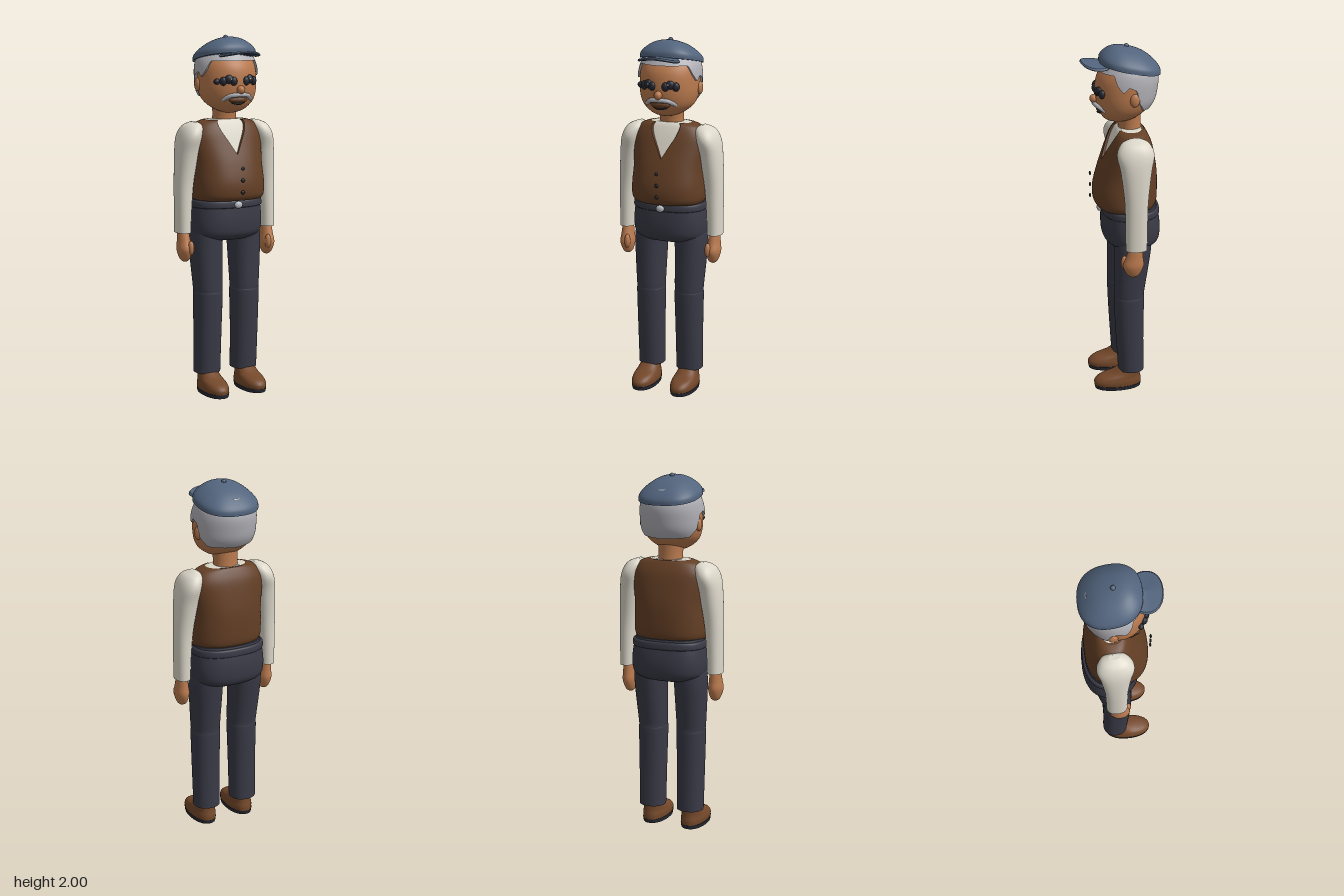
import * as THREE from 'three';

const mat = (name, color, side = THREE.FrontSide) => {
  const m = new THREE.MeshStandardMaterial({ color, side });
  m.name = name;
  return m;
};

// Smooth reading of a list of cross-sections [y, cx, cz, rx, rz] at position t
function sample(secs, t) {
  const n = secs.length - 1;
  const i = Math.min(Math.max(Math.floor(t), 0), n - 1), f = t - i;
  const at = k => secs[Math.min(Math.max(k, 0), n)];
  const [a, b, c, d] = [at(i - 1), at(i), at(i + 1), at(i + 2)];
  return b.map((v, k) => v + 0.5 * f * (c[k] - a[k] + f * (2 * a[k] - 5 * v + 4 * c[k] - d[k] + f * (3 * (v - c[k]) + d[k] - a[k]))));
}

// Surface through superellipse rings. lo/hi give the end positions per angle;
// ends close to the middle, or turn inward as a thin rim when off > 0.
function loft(secs, { power = 2, tilt = 0, off = 0, lo = () => 0, hi = () => secs.length - 1, segs = 64, steps = 5 } = {}) {
  const rows = (secs.length - 1) * steps, pos = [], index = [];
  const ring = (f, end) => {
    for (let j = 0; j < segs; j++) {
      const a = (j / segs) * Math.PI * 2, s = Math.sin(a), c = Math.cos(a);
      const w = Math.abs(Math.atan2(s, c));
      const [y, cx, cz, rx, rz] = sample(secs, lo(w) + (hi(w) - lo(w)) * f);
      const grow = r => (end ? (off ? r - 0.01 : 0) : Math.max(r, 0) + off);
      const x = grow(rx) * Math.sign(s) * Math.abs(s) ** (2 / power);
      const z = grow(rz) * Math.sign(c) * Math.abs(c) ** (2 / power);
      pos.push(cx + x, y + tilt * z, cz + z);
    }
  };
  ring(0, true);
  ring(0);
  for (let i = 0; i <= rows; i++) ring(i / rows);
  ring(1);
  ring(1, true);
  for (let i = 0; i < rows + 4; i++) {
    for (let j = 0; j < segs; j++) {
      const k = (j + 1) % segs, a = i * segs + j, b = i * segs + k;
      index.push(a, b, b + segs, a, b + segs, a + segs);
    }
  }
  const g = new THREE.BufferGeometry();
  g.setAttribute('position', new THREE.Float32BufferAttribute(pos, 3));
  g.setIndex(index);
  g.computeVertexNormals();
  return g;
}

// Piecewise linear lookup
const ramp = pts => v => {
  for (let i = 1; i < pts.length; i++) {
    const [x0, y0] = pts[i - 1], [x1, y1] = pts[i];
    if (v <= x1) return y0 + (y1 - y0) * (v - x0) / (x1 - x0);
  }
  return pts[pts.length - 1][1];
};

export function createModel() {
  const model = new THREE.Group();
  const cap = mat('cap blue', 0x52647d), skin = mat('skin', 0xba7a4e);
  const grey = mat('grey hair', 0xb0b0b6, THREE.DoubleSide), brown = mat('vest brown', 0x643f25, THREE.DoubleSide);
  const cream = mat('shirt cream', 0xdcd7ca), slate = mat('trouser slate', 0x393a46);
  const leather = mat('shoe leather', 0x74482a), dark = mat('dark', 0x262932);
  const metal = mat('buckle metal', 0xb8bbc2);

  const add = (name, geo, material) => {
    const m = new THREE.Mesh(geo, material);
    m.name = name;
    model.add(m);
    return m;
  };
  const ball = (name, material, x, y, z, rx, ry = rx, rz = rx) => {
    const m = add(name, new THREE.SphereGeometry(1, 24, 16), material);
    m.position.set(x, y, z);
    m.scale.set(rx, ry, rz);
    return m;
  };

  // Head, hair and neck
  const head = [
    [1.575, 0, 0.01, 0.02, 0.02], [1.59, 0, 0.01, 0.07, 0.07], [1.615, 0, 0, 0.112, 0.105],
    [1.65, 0, -0.01, 0.145, 0.133], [1.7, 0, -0.02, 0.162, 0.155], [1.76, 0, -0.026, 0.166, 0.163],
    [1.82, 0, -0.033, 0.163, 0.161], [1.87, 0, -0.04, 0.15, 0.141], [1.92, 0, -0.045, 0.115, 0.11],
    [1.95, 0, -0.045, 0.06, 0.06],
  ];
  add('head', loft(head, { segs: 96 }), skin);
  const hairline = ramp([[0, 6.8], [0.95, 6.8], [1.15, 5.8], [1.35, 5.2], [1.5, 5.7], [1.75, 5.4], [1.9, 4.2], [2.2, 3.3], [3.2, 3.1]]);
  add('hair', loft(head, { off: 0.012, lo: hairline, hi: () => 8, segs: 128 }), grey);
  add('neck', loft([[1.48, 0, -0.055, 0.072, 0.066], [1.56, 0, -0.05, 0.067, 0.062], [1.66, 0, -0.04, 0.075, 0.07]]), skin);

  // Flat cap with peak and top button
  add('cap', loft([
    [1.872, 0, -0.05, 0.168, 0.163], [1.9, 0, -0.05, 0.164, 0.16], [1.93, 0, -0.047, 0.138, 0.137],
    [1.96, 0, -0.042, 0.095, 0.098], [1.977, 0, -0.036, 0.05, 0.055], [1.984, 0, -0.033, 0.01, 0.01],
  ], { power: 2.4, tilt: 0.2 }), cap);
  const peak = loft([[1.895, 0, 0.13, 0.108, 0.08], [1.902, 0, 0.13, 0.116, 0.085], [1.909, 0, 0.13, 0.108, 0.08]], { power: 2.2, tilt: 0.07 });
  const p = peak.attributes.position;
  for (let i = 0; i < p.count; i++) p.setY(i, p.getY(i) - p.getX(i) ** 2 * 1.2);
  peak.computeVertexNormals();
  add('capPeak', peak, cap);
  ball('capButton', cap, 0, 1.985, -0.033, 0.013);

  // Face
  ball('nose', skin, 0, 1.705, 0.143, 0.022, 0.024, 0.023);
  for (const s of [-1, 1]) {
    ball('ear', skin, s * 0.165, 1.73, -0.05, 0.016, 0.036, 0.026);
    for (const [x, y, rx] of [[0.038, 1.752, 0.02], [0.064, 1.762, 0.024], [0.092, 1.752, 0.02]]) {
      ball('eye', dark, s * x, y, 0.136 - 2.6 * x * x, rx, 0.024, 0.016).rotation.y = s * x * 5;
    }
    ball('eyeGlint', metal, s * 0.058, 1.764, 0.143, 0.006, 0.004, 0.002);
  }
  ball('eyeCorner', dark, -0.121, 1.75, 0.094, 0.018, 0.016, 0.014);
  const arc = pts => new THREE.CatmullRomCurve3(pts.map(q => new THREE.Vector3(...q)));
  const moustache = arc([[-0.085, 1.652, 0.09], [-0.05, 1.674, 0.128], [0, 1.678, 0.142], [0.05, 1.674, 0.128], [0.085, 1.652, 0.09]]);
  add('moustache', new THREE.TubeGeometry(moustache, 32, 0.012, 10), grey);
  ball('mouth', brown, 0, 1.65, 0.11, 0.058, 0.019, 0.022);
  const lip = arc([[-0.05, 1.638, 0.102], [0, 1.628, 0.122], [0.05, 1.638, 0.102]]);
  add('lowerLip', new THREE.TubeGeometry(lip, 20, 0.005, 8), dark);

  // Shirt body and the V-necked vest over it
  const torso = [
    [1.1, 0, -0.022, 0.182, 0.143], [1.13, 0, -0.022, 0.195, 0.16], [1.2, 0, -0.024, 0.196, 0.162],
    [1.3, 0, -0.035, 0.192, 0.148], [1.4, 0, -0.045, 0.2, 0.122], [1.47, 0, -0.05, 0.198, 0.1],
    [1.52, 0, -0.05, 0.16, 0.076], [1.54, 0, -0.05, 0.1, 0.06],
  ];
  add('shirt', loft(torso, { power: 2.4, segs: 96 }), cream);
  add('vest', loft(torso, { power: 2.4, off: 0.012, hi: ramp([[0, 3.5], [0.55, 6.7], [3.2, 6.7]]), segs: 192 }), brown);
  for (const y of [1.28, 1.215, 1.15]) ball('vestButton', dark, 0, y, 0.168, 0.011, 0.011, 0.006);

  // Hips, belt and buckle
  add('hips', loft([
    [0.862, 0, -0.055, 0.08, 0.06], [0.875, 0, -0.055, 0.15, 0.115], [0.905, 0, -0.055, 0.2, 0.15],
    [0.96, 0, -0.055, 0.212, 0.16], [1.03, 0, -0.053, 0.208, 0.157], [1.11, 0, -0.048, 0.195, 0.145],
  ], { power: 2.5 }), slate);
  add('belt', loft([
    [1.055, 0, -0.05, 0.2, 0.152], [1.062, 0, -0.05, 0.21, 0.16], [1.09, 0, -0.05, 0.208, 0.158], [1.098, 0, -0.05, 0.198, 0.15],
  ], { power: 2.5 }), slate);
  ball('buckle', metal, 0, 1.075, 0.118, 0.024, 0.02, 0.014);

  // Limbs on both sides
  for (const s of [-1, 1]) {
    const limb = (name, secs, material, power = 2) =>
      add(name, loft(secs.map(([y, cx, ...r]) => [y, s * cx, ...r]), { power, segs: 48 }), material);
    limb('sleeve', [
      [0.92, 0.265, -0.043, 0.041, 0.058], [1.06, 0.262, -0.043, 0.045, 0.06], [1.2, 0.255, -0.044, 0.051, 0.064],
      [1.36, 0.238, -0.045, 0.06, 0.083], [1.45, 0.222, -0.045, 0.06, 0.1], [1.505, 0.202, -0.046, 0.05, 0.075],
      [1.528, 0.19, -0.048, 0.015, 0.03],
    ], cream, 2.2);
    limb('hand', [
      [0.758, 0.26, -0.027, 0.01, 0.012], [0.775, 0.26, -0.027, 0.027, 0.036], [0.825, 0.262, -0.027, 0.04, 0.057],
      [0.875, 0.263, -0.033, 0.035, 0.047], [0.935, 0.264, -0.04, 0.029, 0.036],
    ], skin);
    ball('thumb', skin, s * 0.244, 0.838, 0.02, 0.017, 0.04, 0.019);
    limb('trouserLeg', [
      [0.11, 0.117, -0.042, 0.075, 0.073], [0.35, 0.117, -0.033, 0.077, 0.079], [0.55, 0.116, -0.03, 0.081, 0.085],
      [0.58, 0.116, -0.03, 0.079, 0.084], [0.62, 0.117, -0.031, 0.081, 0.086], [0.84, 0.121, -0.047, 0.09, 0.101],
      [0.96, 0.115, -0.05, 0.088, 0.108],
    ], slate, 2.2);
    limb('shoe', [
      [0.02, 0.119, 0.036, 0.068, 0.135], [0.045, 0.119, 0.036, 0.07, 0.135], [0.07, 0.119, 0.024, 0.065, 0.118],
      [0.092, 0.119, -0.008, 0.059, 0.083], [0.125, 0.119, -0.035, 0.052, 0.055],
    ], leather, 2.2);
    limb('sole', [[0, 0.119, 0.036, 0.068, 0.132], [0.022, 0.119, 0.036, 0.071, 0.136]], dark, 2.2);
  }
  return model;
}
